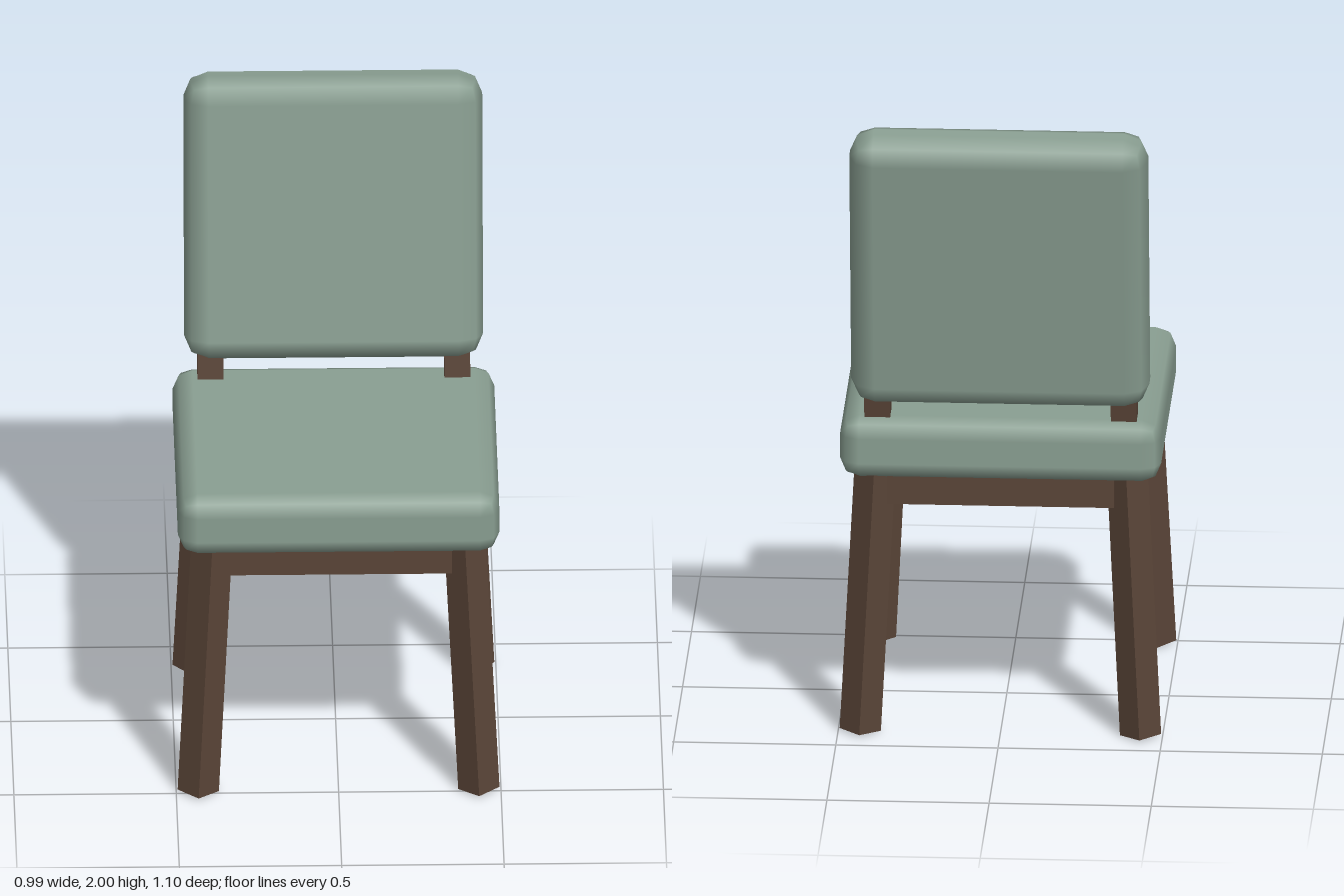
import * as THREE from 'three';
import { RoundedBoxGeometry } from 'three/addons/geometries/RoundedBoxGeometry.js';

export function createModel() {
  const chair = new THREE.Group();
  chair.name = 'chair';

  const fabric = new THREE.MeshStandardMaterial({ color: 0x8a9f92 });
  fabric.name = 'sage fabric';
  const wood = new THREE.MeshStandardMaterial({ color: 0x5a4538 });
  wood.name = 'dark wood';

  function add(name, geometry, material, x, y, z, parent = chair) {
    const mesh = new THREE.Mesh(geometry, material);
    mesh.name = name;
    mesh.position.set(x, y, z);
    parent.add(mesh);
    return mesh;
  }

  // Seat cushion
  add('seat', new RoundedBoxGeometry(0.99, 0.2, 0.96, 1, 0.06), fabric, 0, 0.93, 0.07);

  // Leaning backrest with its two posts
  const back = new THREE.Group();
  back.name = 'back';
  back.position.set(0, 1.541, -0.4);
  back.rotation.x = -0.138;
  chair.add(back);
  add('backrest', new RoundedBoxGeometry(0.92, 0.92, 0.19, 1, 0.075), fabric, 0, 0, 0, back);
  for (const side of [-1, 1]) {
    add('backPost', new THREE.BoxGeometry(0.08, 0.36, 0.07), wood, side * 0.38, -0.49, 0.005, back);
  }

  // Splayed square legs, turned so their corners point forwards and sideways
  const midZ = 0.061, legX = 0.39, legZ = 0.38;
  const legLength = 0.88;
  const legGeometry = new THREE.BoxGeometry(0.09, legLength, 0.09)
    .rotateY(Math.PI / 4)
    .translate(0, legLength / 2, 0);
  const up = new THREE.Vector3(0, 1, 0);
  for (const sx of [-1, 1]) {
    for (const sz of [-1, 1]) {
      const foot = new THREE.Vector3(sx * 0.432, 0.005, midZ + sz * 0.425);
      const top = new THREE.Vector3(sx * legX, 0.83, midZ + sz * legZ);
      const leg = add(sz > 0 ? 'frontLeg' : 'backLeg', legGeometry, wood, foot.x, foot.y, foot.z);
      leg.quaternion.setFromUnitVectors(up, top.sub(foot).normalize());
    }
  }

  // Rails under the seat
  const t = 0.08, railY = 0.793, railH = 0.1;
  for (const s of [-1, 1]) {
    add(s > 0 ? 'frontRail' : 'backRail', new THREE.BoxGeometry(2 * legX - t, railH, t), wood, 0, railY, midZ + s * legZ);
    add('sideRail', new THREE.BoxGeometry(t, railH, 2 * legZ - t), wood, s * legX, railY, midZ);
  }

  return chair;
}
